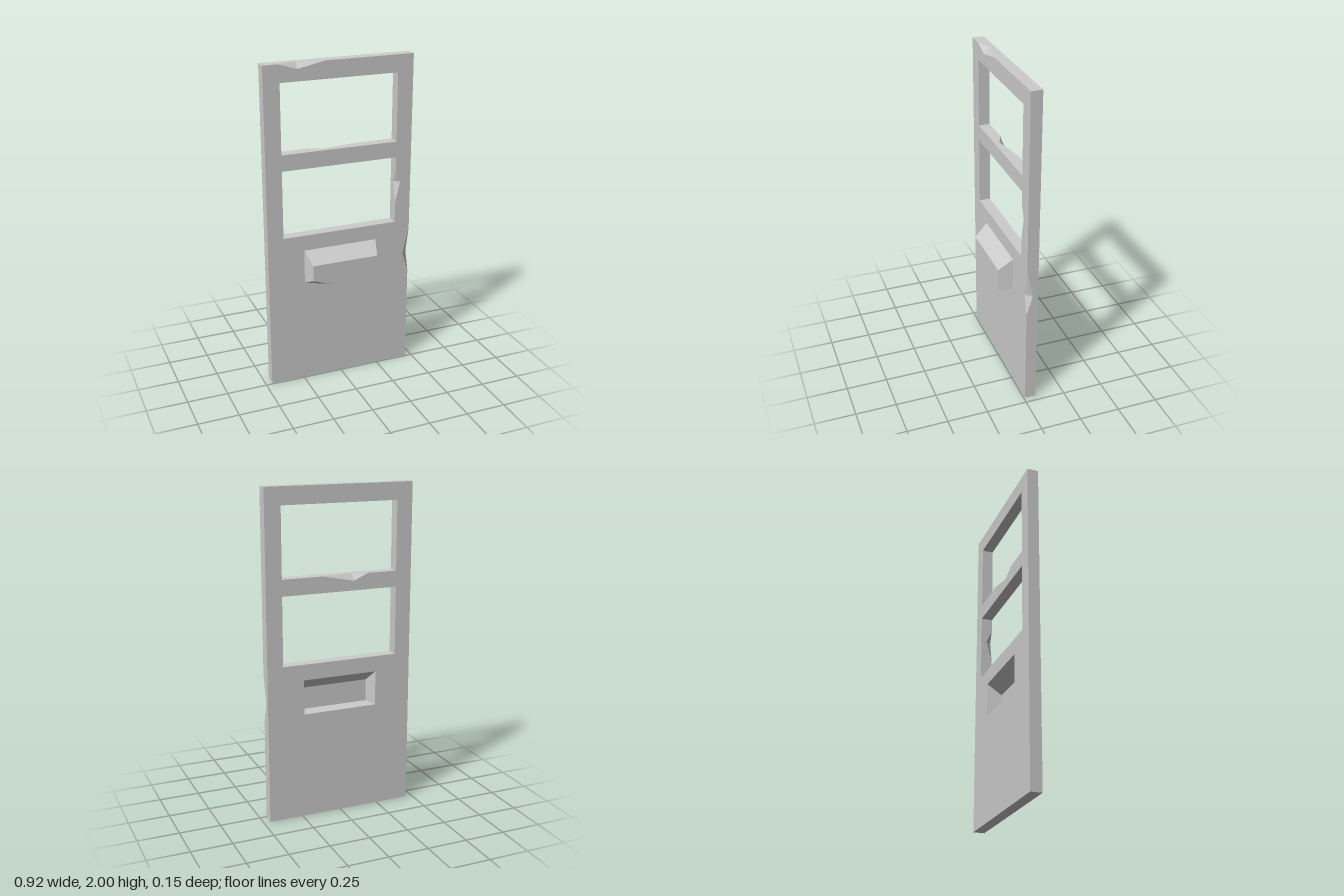
import * as THREE from 'three';
import { mergeGeometries } from 'three/addons/utils/BufferGeometryUtils.js';

const FRONT = -0.008, BACK = -0.077, THICK = FRONT - BACK;
const material = new THREE.MeshStandardMaterial({ color: 0xcccccc, flatShading: true });
const V = (x, y, z) => new THREE.Vector3(x, y, z);

// Flat faces given as corner lists, counter-clockwise from outside
function polygons(faces) {
  const points = [];
  for (const f of faces)
    for (let i = 1; i < f.length - 1; i++) points.push(f[0], f[i], f[i + 1]);
  const g = new THREE.BufferGeometry().setFromPoints(points);
  g.computeVertexNormals();
  return g;
}

function flat(points, holes = []) {
  const shape = new THREE.Shape(points);
  shape.holes = holes.map((h) => new THREE.Path(h));
  const g = new THREE.ShapeGeometry(shape).toNonIndexed();
  g.deleteAttribute('uv');
  return g;
}

// Walks a loop with the solid on its left. Returns the front and back outlines,
// the edge walls, and the facets of any chip {edge, from, at, to, cut, inset, back}.
function rim(corners, chips = []) {
  const front = [], back = [], parts = [];
  corners.forEach(([ax, ay], i) => {
    const [bx, by] = corners[(i + 1) % corners.length];
    const len = Math.hypot(bx - ax, by - ay);
    const d = V((bx - ax) / len, (by - ay) / len, 0);
    const n = V(-d.y, d.x, 0);
    const on = (s, depth, z) => V(ax, ay, z).addScaledVector(d, s).addScaledVector(n, depth);
    const a = new THREE.Vector2(ax, ay);
    front.push(a);
    back.push(a);
    const nearSide = [[0, FRONT]], farSide = [[len, BACK]];
    for (const c of chips.filter((k) => k.edge === i)) {
      const z = c.back ? BACK : FRONT;
      const zIn = c.back ? z + c.inset : z - c.inset;
      const p = on(c.from, 0, z), q = on(c.to, 0, z);
      const onFace = on(c.at, c.cut, z), onWall = on(c.at, 0, zIn);
      (c.back ? back : front).push(...[p, onFace, q].map((v) => new THREE.Vector2(v.x, v.y)));
      const notch = [[c.from, z], [c.at, zIn], [c.to, z]];
      if (c.back) farSide.push(...notch.reverse());
      else nearSide.push(...notch);
      const facets = [[p, onWall, onFace], [q, onFace, onWall]];
      parts.push(polygons(c.back ? facets.map((f) => f.reverse()) : facets));
    }
    const outline = [...nearSide, [len, FRONT], ...farSide, [0, BACK]];
    const wall = flat(outline.map(([s, z]) => new THREE.Vector2(s, z)));
    const frame = new THREE.Matrix4().makeBasis(d, V(0, 0, 1), n.clone().negate());
    parts.push(wall.applyMatrix4(frame.setPosition(ax, ay, 0)));
  });
  return { front, back, parts };
}

// Rectangle with its corners clockwise, for holes
const hole = (x, y0, y1) => [[-x, y0], [-x, y1], [x, y1], [x, y0]];

export function createModel() {
  const model = new THREE.Group();
  const add = (name, geometry) => {
    const mesh = new THREE.Mesh(geometry, material);
    mesh.name = name;
    model.add(mesh);
  };

  // Door slab with two windows and chipped edges
  const outer = rim([[-0.46, 0], [0.46, 0], [0.46, 2], [-0.46, 2]], [
    { edge: 1, from: 0.62, at: 0.74, to: 0.91, cut: 0.038, inset: 0.037 },
    { edge: 2, from: 0.55, at: 0.715, to: 0.83, cut: 0.035, inset: 0.035 },
  ]);
  const windows = [
    rim(hole(0.362, 1.478, 1.895), [
      { edge: 3, from: 0.25, at: 0.45, to: 0.54, cut: 0.04, inset: 0.035, back: true },
    ]),
    rim(hole(0.362, 0.963, 1.38), [
      { edge: 2, from: 0.08, at: 0.16, to: 0.29, cut: 0.03, inset: 0.036 },
    ]),
  ];
  const slot = hole(0.233, 0.655, 0.867).map(([x, y]) => new THREE.Vector2(x, y));
  const frontFace = flat(outer.front, [...windows.map((w) => w.front), slot]);
  const backFace = flat(outer.back, [...windows.map((w) => w.back), slot]);
  frontFace.translate(0, 0, FRONT);
  // Turn the back sheet round: mirror in x by turning, after mirroring its outline
  const turned = flat(
    outer.back.map((p) => new THREE.Vector2(-p.x, p.y)),
    [...windows.map((w) => w.back), slot].map((h) => h.map((p) => new THREE.Vector2(-p.x, p.y))),
  );
  backFace.copy(turned).rotateY(Math.PI).translate(0, 0, BACK);
  add('doorSlab', mergeGeometries([
    frontFace, backFace, ...outer.parts, ...windows.flatMap((w) => w.parts),
  ]));

  // Projecting box with sloped top and one chipped lower corner
  const tray = (z) => ({
    b: [V(-0.233, 0.655, z), V(0.233, 0.655, z), V(0.233, 0.867, z), V(-0.233, 0.867, z)],
    f: [[-0.208, 0.66], [0.208, 0.66], [0.208, 0.795], [-0.208, 0.795]]
      .map(([x, y]) => V(x, y, z + 0.084)),
  });
  const { b, f } = tray(FRONT);
  const p = V(-0.208, 0.697, f[0].z), q = V(-0.1, 0.66, f[0].z);
  add('projectingBox', polygons([
    [q, f[1], f[2], f[3], p], [b[0], b[1], f[1], q], [b[1], b[2], f[2], f[1]],
    [b[2], b[3], f[3], f[2]], [b[0], p, f[3], b[3]], [b[0], q, p],
  ]));

  // Matching recess pressed into the back
  const r = tray(BACK);
  const sides = [0, 1, 2, 3].map((i) => {
    const j = (i + 1) % 4;
    return [r.f[i], r.f[j], r.b[j], r.b[i]];
  });
  add('backRecess', polygons([[...r.f].reverse(), ...sides]));

  return model;
}
